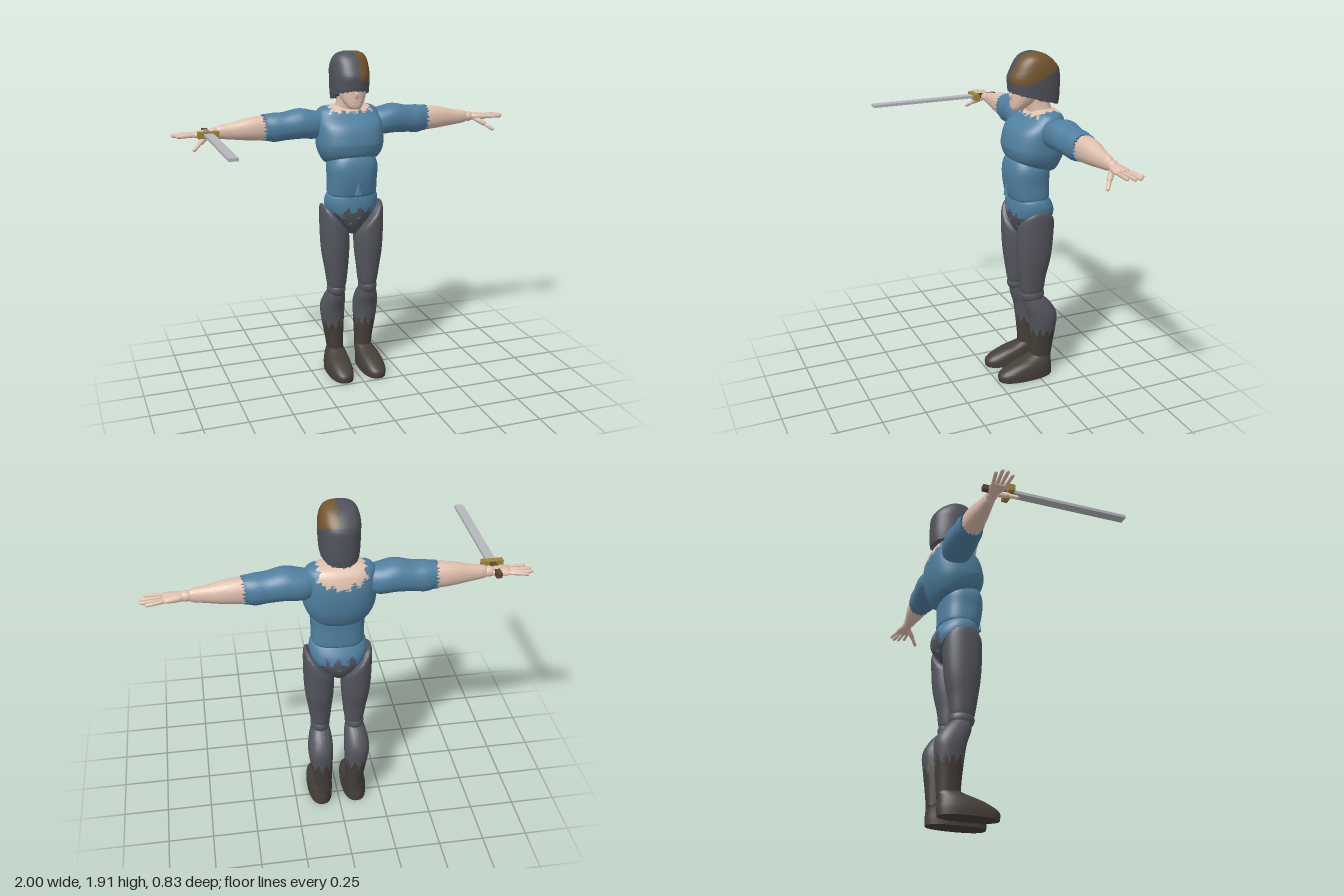
import * as THREE from 'three';
import { toCreasedNormals } from 'three/addons/utils/BufferGeometryUtils.js';

const paint = (name, color) => {
  const m = new THREE.MeshStandardMaterial({ color });
  m.name = name;
  return m;
};
const BLUE = paint('shirt blue', 0x5080a0);
const GREY = paint('trouser grey', 0x54565e);
const HAIR = paint('hair grey', 0x50535b);
const BROWN = paint('hair brown', 0x74552f);
const SKIN = paint('skin', 0xdfc0ae);
const BOOT = paint('boot brown', 0x453f38);
const STEEL = paint('blade steel', 0xb4b7bb);
const GOLD = paint('guard gold', 0x9c8640);
const GRIP = paint('grip brown', 0x5a4632);

const SEG = 48, SUB = 6, JAG = [0, 0.9, 0.25, 0.6, 0, 1];

// Smooth blend through a column of section values
function spline(a, b, c, d, t) {
  return 0.5 * (2 * b + (c - a) * t + (2 * a - 5 * b + 4 * c - d) * t * t + (3 * b - a - 3 * c + d) * t * t * t);
}

// Closed body from rounded sections stacked along y.
// Section: [y, centre x, half width, centre z, half depth, tilt by depth, tilt by width]
function loft(rows, { power = 2.2, hem = null } = {}) {
  const full = rows.map(r => [...r, 0, 0].slice(0, 7));
  const sections = [];
  for (let i = 0; i < full.length - 1; i++) {
    const q = [Math.max(i - 1, 0), i, i + 1, Math.min(i + 2, full.length - 1)].map(k => full[k]);
    for (let s = 0; s < SUB; s++) sections.push(q[1].map((_, k) => spline(q[0][k], q[1][k], q[2][k], q[3][k], s / SUB)));
  }
  sections.push(full[full.length - 1]);
  const last = sections.length - 1, pos = [], idx = [];
  const round = v => Math.sign(v) * Math.abs(v) ** (2 / power);
  sections.forEach(([y, cx, rx, cz, rz, tz, tx], i) => {
    for (let j = 0; j < SEG; j++) {
      const a = j / SEG * Math.PI * 2, c = round(Math.cos(a)), s = round(Math.sin(a));
      const ragged = hem && i === (hem.top ? last : 0) ? hem.size * JAG[j % JAG.length] : 0;
      pos.push(cx + rx * c, y + tz * s + tx * c + ragged, cz + rz * s);
    }
  });
  for (let i = 0; i < last; i++) for (let j = 0; j < SEG; j++) {
    const a = i * SEG + j, b = i * SEG + (j + 1) % SEG;
    idx.push(a, a + SEG, b, b, a + SEG, b + SEG);
  }
  for (const i of [0, last]) {
    const [y, cx, , cz] = sections[i], mid = pos.length / 3;
    pos.push(cx, y, cz);
    for (let j = 0; j < SEG; j++) {
      const a = i * SEG + j, b = i * SEG + (j + 1) % SEG;
      idx.push(mid, i ? b : a, i ? a : b);
    }
  }
  const g = new THREE.BufferGeometry();
  g.setAttribute('position', new THREE.Float32BufferAttribute(pos, 3));
  g.setIndex(idx);
  return g;
}

// Same, running outward along x at arm height; centre x becomes depth below it
const armLoft = (rows, opts) => loft(rows, opts).rotateZ(-Math.PI / 2).translate(0, 1.49, 0);

const ball = (x, y, z, rx, ry, rz) => new THREE.SphereGeometry(1, 24, 16).scale(rx, ry, rz).translate(x, y, z);

function capsule(from, to, r) {
  const a = new THREE.Vector3(...from), b = new THREE.Vector3(...to), d = b.clone().sub(a);
  const q = new THREE.Quaternion().setFromUnitVectors(new THREE.Vector3(0, 1, 0), d.clone().normalize());
  const mid = a.add(b).multiplyScalar(0.5);
  return new THREE.CapsuleGeometry(r, d.length(), 4, 10).applyQuaternion(q).translate(mid.x, mid.y, mid.z);
}

function finish(g, mirror) {
  if (mirror) {
    g.scale(-1, 1, 1);
    const ix = g.index.array;
    for (let i = 0; i < ix.length; i += 3) [ix[i], ix[i + 1]] = [ix[i + 1], ix[i]];
  }
  return toCreasedNormals(g, 0.9);
}

// Splits a finished surface in two by a rule on face centres
function split(g, rule) {
  const p = g.attributes.position.array, n = g.attributes.normal.array;
  const out = [0, 1].map(() => ({ p: [], n: [] }));
  for (let i = 0; i < p.length; i += 9) {
    const c = [0, 1, 2].map(k => (p[i + k] + p[i + 3 + k] + p[i + 6 + k]) / 3);
    const o = out[rule(...c) ? 1 : 0];
    o.p.push(...p.slice(i, i + 9));
    o.n.push(...n.slice(i, i + 9));
  }
  return out.map(o => new THREE.BufferGeometry()
    .setAttribute('position', new THREE.Float32BufferAttribute(o.p, 3))
    .setAttribute('normal', new THREE.Float32BufferAttribute(o.n, 3)));
}

// Triangle wave, 0 to 1
const zig = (v, period) => Math.abs(((v / period) % 1 + 1) % 1 * 2 - 1);

export function createModel() {
  const model = new THREE.Group();
  model.name = 'swordsman';
  const add = (name, g, mat, mirror = false) => {
    const m = new THREE.Mesh(finish(g, mirror), mat);
    m.name = name;
    model.add(m);
  };
  const addSplit = (names, g, mats, rule, mirror = false) =>
    split(finish(g, mirror), rule).forEach((part, i) => {
      const m = new THREE.Mesh(part, mats[i]);
      m.name = names[i];
      model.add(m);
    });

  // Chest with a ragged neckline, low at the back
  addSplit(['shirtChest', 'bareNeckline'], loft([
    [1.285, 0, 0.11, -0.23, 0.1, 0.035], [1.305, 0, 0.155, -0.235, 0.13, 0.035],
    [1.36, 0, 0.185, -0.245, 0.153, 0.02], [1.42, 0, 0.192, -0.252, 0.161], [1.5, 0, 0.19, -0.265, 0.148],
    [1.56, 0, 0.18, -0.292, 0.105], [1.59, 0, 0.16, -0.298, 0.078], [1.605, 0, 0.115, -0.3, 0.05],
  ], { power: 2.5 }), [BLUE, SKIN], (x, y, z) => Math.abs(x) < 0.13 - 0.02 * zig(z, 0.04) &&
    y > (z < -0.32 ? 1.49 + Math.abs(x) * 0.25 + 0.035 * zig(x, 0.055) : 1.565 + 0.022 * zig(x, 0.05)));
  // Waist and navel
  add('shirtWaist', loft([
    [1.1, 0, 0.13, -0.22, 0.1], [1.115, 0, 0.141, -0.22, 0.112], [1.2, 0, 0.142, -0.212, 0.12],
    [1.27, 0, 0.146, -0.212, 0.121], [1.32, 0, 0.13, -0.215, 0.112], [1.36, 0, 0.1, -0.22, 0.09],
  ], { power: 2.5 }), BLUE);
  add('navel', new THREE.ConeGeometry(0.022, 0.08, 16).scale(1, 1, 0.45).translate(0, 1.16, -0.092), BLUE);
  // Pelvis: torn shirt tail over the trousers
  addSplit(['shirtTail', 'trouserSeat'], loft([
    [0.865, 0, 0.02, -0.22, 0.04], [0.9, 0, 0.05, -0.235, 0.085], [0.95, 0, 0.095, -0.24, 0.115],
    [1.0, 0, 0.138, -0.24, 0.128], [1.05, 0, 0.155, -0.235, 0.126], [1.095, 0, 0.15, -0.225, 0.112],
    [1.12, 0, 0.13, -0.22, 0.1],
  ]), [BLUE, GREY], (x, y, z) =>
    y < 0.985 + (Math.abs(x) < 0.08 ? 0.05 : 0) + 0.015 * Math.sin(90 * x) + 0.012 * Math.sin(70 * z) &&
    Math.sin(75 * x + 1) * Math.sin(85 * y) < 0.8);

  // Neck and face
  add('neck', loft([[1.54, 0, 0.09, -0.295, 0.07], [1.6, 0, 0.07, -0.285, 0.068], [1.66, 0, 0.062, -0.27, 0.066],
    [1.74, 0, 0.065, -0.255, 0.07]]), SKIN);
  add('face', loft([[1.602, 0, 0.028, -0.155, 0.03], [1.62, 0, 0.046, -0.165, 0.047], [1.66, 0, 0.068, -0.19, 0.073],
    [1.72, 0, 0.082, -0.215, 0.097], [1.8, 0, 0.085, -0.24, 0.115]]), SKIN);
  add('nose', ball(0, 1.685, -0.12, 0.013, 0.026, 0.014), SKIN);
  // Hair with a ragged fringe and a brown patch on one side
  addSplit(['hair', 'hairPatch'], loft([
    [1.66, 0, 0.1, -0.25, 0.142, 0.04], [1.71, 0, 0.104, -0.251, 0.147, 0.03], [1.77, 0, 0.106, -0.25, 0.147, 0.01],
    [1.82, 0, 0.105, -0.255, 0.135], [1.865, 0, 0.096, -0.25, 0.105], [1.895, 0, 0.078, -0.245, 0.07],
    [1.91, 0, 0.045, -0.24, 0.032],
  ], { power: 2.3, hem: { size: 0.05 } }), [HAIR, BROWN], (x, y, z) =>
    x > 0.025 - 0.015 * zig(z, 0.06) && y > 1.75 + Math.max(0, -0.2 - z) * 0.45 + 0.01 * zig(z, 0.05));

  for (const mirror of [false, true]) {
    const side = mirror ? 'right' : 'left';
    // Sleeve with torn cuff, forearm and wrist
    add(side + 'Sleeve', armLoft([
      [0.15, -0.01, 0.07, -0.3, 0.07], [0.2, -0.01, 0.08, -0.3, 0.087], [0.28, -0.02, 0.085, -0.3, 0.09],
      [0.37, -0.01, 0.079, -0.304, 0.08], [0.43, -0.006, 0.081, -0.308, 0.077], [0.475, -0.008, 0.074, -0.31, 0.066],
    ], { hem: { top: true, size: 0.025 } }), BLUE, mirror);
    add(side + 'Forearm', armLoft([
      [0.42, -0.006, 0.064, -0.31, 0.055], [0.5, -0.006, 0.069, -0.31, 0.058], [0.58, -0.005, 0.062, -0.31, 0.053],
      [0.67, 0, 0.046, -0.308, 0.038], [0.74, 0.001, 0.036, -0.307, 0.028], [0.755, 0.001, 0.028, -0.307, 0.022],
    ]), SKIN, mirror);
    add(side + 'Wrist', ball(0.77, 1.488, -0.307, 0.035, 0.029, 0.029), SKIN, mirror);
    // Hand with four fingers and a thumb
    add(side + 'Palm', armLoft([
      [0.775, 0.003, 0.018, -0.307, 0.022], [0.81, 0.004, 0.022, -0.305, 0.036], [0.86, 0.005, 0.018, -0.305, 0.044],
      [0.885, 0.006, 0.011, -0.307, 0.042],
    ]), SKIN, mirror);
    [[-0.338, 0.962, -0.358], [-0.318, 0.989, -0.334], [-0.296, 0.988, -0.305], [-0.273, 0.968, -0.272]]
      .forEach(([z0, x, z1], i) =>
        add(side + 'Finger' + (i + 1), capsule([0.87, 1.485, z0], [x, 1.483, z1], 0.0095), SKIN, mirror));
    add(side + 'ThumbBase', capsule([0.81, 1.475, -0.285], [0.85, 1.45, -0.25], 0.015), SKIN, mirror);
    add(side + 'ThumbTip', capsule([0.85, 1.45, -0.25], [0.892, 1.418, -0.217], 0.0105), SKIN, mirror);

    // Thigh cut along the groin, and knee
    add(side + 'Thigh', loft([
      [0.535, 0.096, 0.042, -0.22, 0.055], [0.56, 0.096, 0.054, -0.218, 0.067], [0.65, 0.098, 0.066, -0.217, 0.08],
      [0.76, 0.102, 0.079, -0.222, 0.099, 0, 0.01], [0.87, 0.104, 0.083, -0.224, 0.107, 0, 0.04],
      [0.95, 0.105, 0.08, -0.226, 0.107, 0, 0.08], [0.975, 0.108, 0.062, -0.226, 0.085, 0, 0.075],
    ]), GREY, mirror);
    add(side + 'Knee', ball(0.098, 0.53, -0.22, 0.054, 0.055, 0.07), GREY, mirror);
    // Trouser leg torn over the boot shaft
    addSplit([side + 'TrouserLeg', side + 'BootShaft'], loft([
      [0.1, 0.088, 0.046, -0.283, 0.062], [0.2, 0.094, 0.054, -0.285, 0.068], [0.3, 0.101, 0.065, -0.286, 0.077],
      [0.39, 0.104, 0.071, -0.282, 0.086], [0.46, 0.101, 0.063, -0.253, 0.08], [0.51, 0.098, 0.05, -0.226, 0.06],
    ]), [GREY, BOOT], (x, y, z) => y < 0.26 + 0.06 * zig(Math.atan2(z + 0.285, Math.abs(x) - 0.1), 0.6), mirror);
    // Foot
    add(side + 'Foot', loft([
      [0, 0.101, 0.07, -0.178, 0.166], [0.035, 0.101, 0.071, -0.178, 0.168], [0.06, 0.1, 0.069, -0.19, 0.154],
      [0.09, 0.097, 0.063, -0.22, 0.122], [0.118, 0.091, 0.052, -0.263, 0.082], [0.135, 0.088, 0.044, -0.28, 0.06],
    ], { power: 2.4 }), BOOT, mirror);
  }

  // Sword held forward in the right hand
  const box = (name, w, h, d, x, y, z, mat) => add(name, new THREE.BoxGeometry(w, h, d).translate(x, y, z), mat);
  box('blade', 0.05, 0.016, 0.64, -0.81, 1.494, 0.1, STEEL);
  box('guard', 0.115, 0.036, 0.032, -0.81, 1.493, -0.234, GOLD);
  box('grip', 0.03, 0.026, 0.125, -0.81, 1.493, -0.31, GRIP);
  return model;
}
